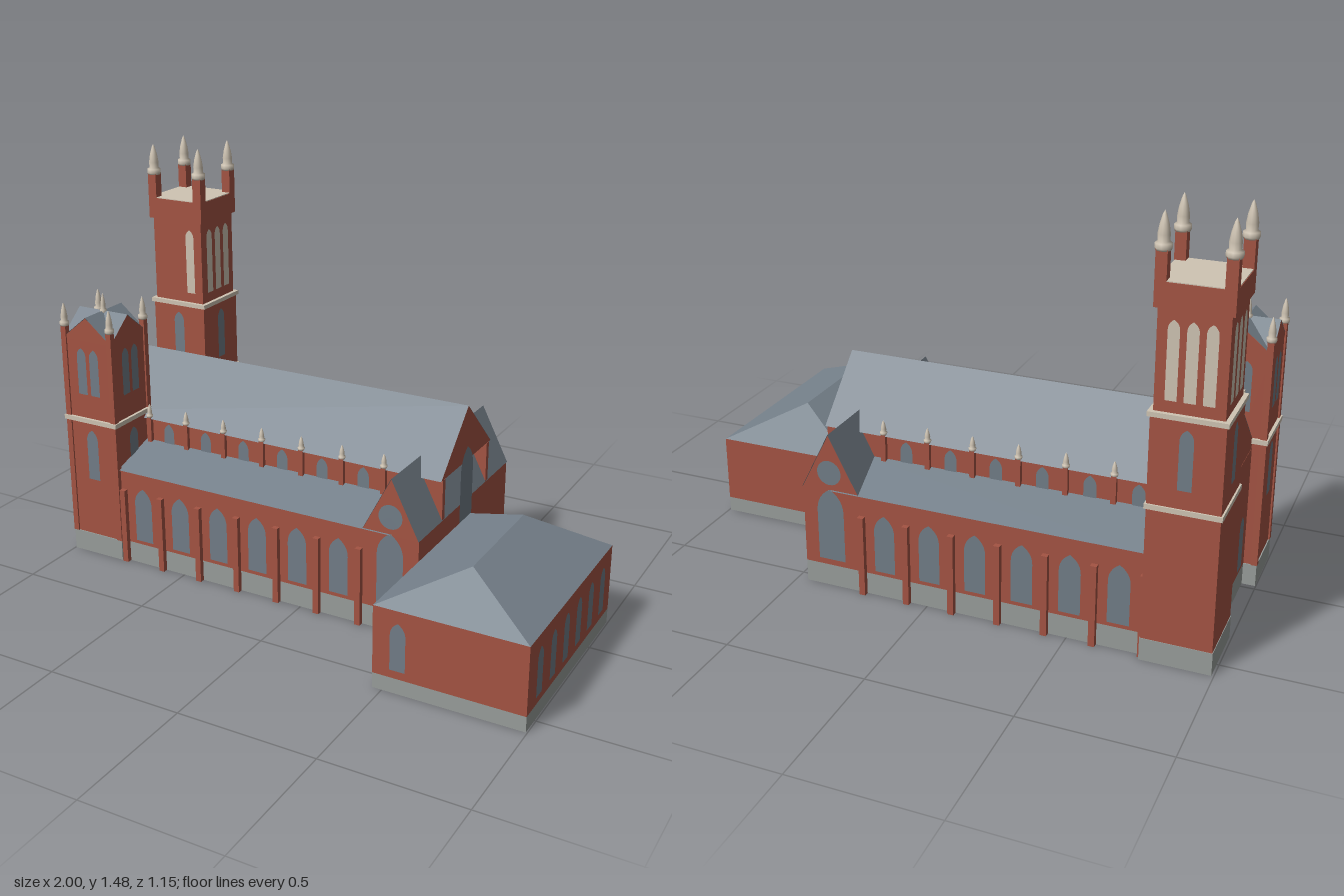
import * as THREE from 'three';

const mat = (name, color) => {
  const m = new THREE.MeshStandardMaterial({ color, side: THREE.DoubleSide });
  m.name = name;
  return m;
};

export function createModel() {
  const root = new THREE.Group();
  root.name = 'church';
  const brick = mat('brick', 0xa45443), slate = mat('slate', 0x76818b), glass = mat('glass', 0x717d87);
  const stone = mat('plinth stone', 0x989d9a), cream = mat('cream stone', 0xcfc4b3);

  const add = (name, geo, m, parent = root) => {
    const mesh = new THREE.Mesh(geo, m);
    mesh.name = name;
    parent.add(mesh);
    return mesh;
  };
  // box given by its limits
  const box = (name, m, x0, x1, y0, y1, z0, z1, parent) => {
    const g = new THREE.BoxGeometry(x1 - x0, y1 - y0, z1 - z0);
    g.translate((x0 + x1) / 2, (y0 + y1) / 2, (z0 + z1) / 2);
    return add(name, g, m, parent);
  };
  // flat convex polygons, each cut into a fan
  const faces = (name, m, polys, parent) => {
    const p = [];
    for (const q of polys)
      for (let i = 1; i < q.length - 1; i++) p.push(...q[0], ...q[i], ...q[i + 1]);
    const g = new THREE.BufferGeometry();
    g.setAttribute('position', new THREE.Float32BufferAttribute(p, 3));
    g.computeVertexNormals();
    return add(name, g, m, parent);
  };
  // upright wall strips along a plan path of [x, z] points
  const walls = (name, m, path, y0, y1, parent) => faces(name, m, path.slice(1).map(([x, z], i) => {
    const [px, pz] = path[i];
    return [[px, y0, pz], [x, y0, z], [x, y1, z], [px, y1, pz]];
  }), parent);
  const plinthWalls = (name, path, yPlinth, yTop, parent) => {
    walls(name + 'Plinth', stone, path, 0, yPlinth, parent);
    walls(name + 'Walls', brick, path, yPlinth, yTop, parent);
  };

  // pointed window laid on a wall; turn is the facing angle about y
  const lancet = (name, m, w, y0, y1, x, z, turn, parent) => {
    const s = new THREE.Shape(), h = w / 2, spring = y1 - w * 0.85;
    s.moveTo(-h, y0);
    s.lineTo(h, y0);
    s.lineTo(h, spring);
    s.quadraticCurveTo(h, spring + w * 0.55, 0, y1);
    s.quadraticCurveTo(-h, spring + w * 0.55, -h, spring);
    s.closePath();
    const mesh = add(name, new THREE.ShapeGeometry(s, 6), m, parent);
    mesh.rotation.y = turn;
    mesh.position.set(x + 0.003 * Math.sin(turn), 0, z + 0.003 * Math.cos(turn));
  };
  // collar and pointed cap
  const pinnacle = (name, x, y, z, r, h, parent) => {
    const prof = [[0, 0], [1, 0], [1.1, 0.06], [1.1, 0.18], [0.75, 0.22], [0.8, 0.4], [0.6, 0.65], [0.25, 0.9], [0, 1]];
    const g = new THREE.LatheGeometry(prof.map(([a, b]) => new THREE.Vector2(a * r, b * h)), 10);
    add(name, g, cream, parent).position.set(x, y, z);
  };

  const E = 0.46, W = -0.95, C = -0.155; // east end, west end, centre line
  const EAST = Math.PI / 2, WEST = -EAST, BACK = Math.PI;

  // main body: outer walls of the aisles, east wall and west wall
  const north = C - 0.383, south = C + 0.383;
  plinthWalls('aisle', [[-0.78, south], [E, south], [E, north], [-0.78, north]], 0.08, 0.37);
  plinthWalls('westEnd', [[W, C - 0.2], [W, C + 0.2]], 0.08, 0.52);
  walls('aisleEnd', brick, [[-0.78, C + 0.2], [-0.78, south]], 0, 0.4);
  walls('aisleEnd', brick, [[-0.78, C - 0.2], [-0.78, north]], 0, 0.4);
  for (const z of [-0.2, -0.06]) lancet('westWindow', glass, 0.06, 0.1, 0.3, W, z, WEST);

  // nave roof and its end gables
  const ridge = 0.727, eave = 0.52, half = 0.215;
  for (const s of [-1, 1])
    faces('naveRoof', slate, [[[W, eave, C + s * half], [E, eave, C + s * half], [E, ridge, C], [W, ridge, C]]]);
  for (const x of [W + 0.001, E - 0.001])
    faces('naveGable', brick, [[[x, eave, C - half], [x, eave, C + half], [x, ridge, C]]]);
  lancet('eastWindow', glass, 0.105, 0.25, 0.575, E, -0.153, EAST);

  // cross on the west gable
  box('crossUpright', cream, W, W + 0.012, ridge - 0.01, 0.8, C - 0.006, C + 0.006);
  box('crossArm', cream, W, W + 0.012, 0.77, 0.782, C - 0.022, C + 0.022);

  // the two long sides, mirrored about the centre line
  for (const s of [-1, 1]) {
    const side = new THREE.Group();
    side.name = s > 0 ? 'frontSide' : 'backSide';
    root.add(side);
    const turn = s > 0 ? 0 : BACK;
    const Z = d => C + s * d;
    const span = (name, m, x0, x1, y0, y1, d0, d1) =>
      box(name, m, x0, x1, y0, y1, Math.min(Z(d0), Z(d1)), Math.max(Z(d0), Z(d1)), side);

    span('clerestoryWall', brick, W, E, 0.37, eave, 0.18, 0.2);
    faces('aisleRoof', slate, [[[-0.78, 0.37, Z(0.39)], [0.36, 0.37, Z(0.39)], [0.36, 0.43, Z(0.2)], [-0.78, 0.43, Z(0.2)]]], side);

    for (let i = 0; i < 7; i++) {
      const x = -0.757 + i * 0.1657;
      span('buttress', brick, x - 0.011, x + 0.011, 0, 0.295, 0.38, 0.402);
      span('clerestoryPier', brick, x - 0.009, x + 0.009, 0.42, 0.53, 0.195, 0.215);
      pinnacle('pierPinnacle', x, 0.525, Z(0.207), 0.012, 0.052, side);
      if (i === 6) continue;
      lancet('aisleWindow', glass, 0.075, 0.095, 0.31, x + 0.083, Z(0.383), turn, side);
      lancet('clerestoryWindow', glass, 0.045, 0.425, 0.507, x + 0.083, Z(0.2), turn, side);
    }

    // transept gable with round window and tall lancet
    faces('transeptGable', brick, [[[0.247, 0.368, Z(0.385)], [0.46, 0.368, Z(0.385)], [0.355, 0.575, Z(0.385)]]], side);
    const rose = add('roseWindow', new THREE.CircleGeometry(0.045, 24), glass, side);
    rose.rotation.y = turn;
    rose.position.set(0.355, 0.437, Z(0.389));
    lancet('transeptWindow', glass, 0.1, 0.105, 0.375, 0.355, Z(0.386), turn, side);
  }
  // transept roof runs right across, under the nave roof
  for (const x of [0.247, 0.461])
    faces('transeptRoof', slate, [[[x, 0.368, C - 0.388], [x, 0.368, C + 0.388], [0.355, 0.577, C + 0.388], [0.355, 0.577, C - 0.388]]]);

  // hall at the east end
  const hall = new THREE.Group();
  hall.name = 'hall';
  root.add(hall);
  const hx0 = 0.465, hx1 = 0.995, hz0 = -0.193, hz1 = 0.573;
  plinthWalls('hall', [[hx0, hz0], [hx0, hz1], [hx1, hz1], [hx1, hz0], [hx0, hz0]], 0.055, 0.3, hall);
  const a = [hx0, 0.3, hz1], b = [hx1, 0.3, hz1], c = [hx1, 0.3, hz0], d = [hx0, 0.3, hz0];
  const r0 = [0.73, 0.425, -0.025], r1 = [0.73, 0.425, 0.403];
  faces('hallRoof', slate, [[a, b, r1], [b, c, r0, r1], [c, d, r0], [d, a, r1, r0]], hall);
  for (let i = 0; i < 6; i++) lancet('hallWindow', glass, 0.048, 0.085, 0.257, hx1, 0.482 - i * 0.1165, EAST, hall);
  lancet('hallFrontWindow', glass, 0.055, 0.085, 0.257, 0.555, hz1, 0, hall);

  const corners = [[-1, -1], [1, -1], [1, 1], [-1, 1]];
  const turns = [0, EAST, BACK, WEST];
  const block = (name, m, h, y0, y1, parent) => box(name, m, -h, h, y0, y1, -h, h, parent);
  // window on a tower face, u along the face
  const towerWindow = (name, m, w, y0, y1, u, h, turn, parent) => lancet(name, m, w, y0, y1,
    h * Math.sin(turn) + u * Math.cos(turn), h * Math.cos(turn) - u * Math.sin(turn), turn, parent);

  // small front tower with crossed gables
  const small = new THREE.Group();
  small.name = 'smallTower';
  small.position.set(-0.886, 0, 0.132);
  root.add(small);
  block('smallTowerPlinth', stone, 0.111, 0, 0.08, small);
  block('smallTowerShaft', brick, 0.107, 0.08, 0.865, small);
  block('smallTowerBelt', cream, 0.118, 0.54, 0.557, small);
  for (const [sx, sz] of corners) {
    const x = sx * 0.102, z = sz * 0.102;
    box('cornerPost', brick, x - 0.011, x + 0.011, 0.08, 0.91, z - 0.011, z + 0.011, small);
    pinnacle('cornerPinnacle', x, 0.905, z, 0.016, 0.087, small);
    const k = 0.109, top = 0.95, low = 0.86, K = [sx * k, low, sz * k], M = [0, top, 0];
    faces('crossRoof', slate, [[M, [sx * k, top, 0], K], [M, K, [0, top, sz * k]]], small);
  }
  for (const t of turns) {
    const gable = faces('towerGable', brick, [[[-0.108, 0.86, 0.108], [0.108, 0.86, 0.108], [0, 0.948, 0.108]]], small);
    gable.rotation.y = t;
    for (const u of [-0.028, 0.028]) towerWindow('twinWindow', glass, 0.04, 0.65, 0.83, u, 0.107, t, small);
    towerWindow('lowerWindow', glass, 0.05, 0.31, 0.51, 0, 0.107, t, small);
  }
  pinnacle('centrePinnacle', 0, 0.94, 0, 0.012, 0.076, small);

  // tall bell tower at the back
  const tall = new THREE.Group();
  tall.name = 'bellTower';
  tall.position.set(-0.873, 0, -0.449);
  root.add(tall);
  block('bellTowerPlinth', stone, 0.119, 0, 0.08, tall);
  block('lowerStage', brick, 0.117, 0.08, 0.85, tall);
  block('lowerBelt', cream, 0.123, 0.54, 0.557, tall);
  block('upperBelt', cream, 0.125, 0.848, 0.864, tall);
  block('belfry', brick, 0.11, 0.86, 1.19, tall);
  block('parapet', brick, 0.121, 1.19, 1.27, tall);
  block('roofDeck', cream, 0.119, 1.265, 1.273, tall);
  for (const [sx, sz] of corners) {
    const x = sx * 0.103, z = sz * 0.103;
    box('parapetPost', brick, x - 0.018, x + 0.018, 1.19, 1.365, z - 0.018, z + 0.018, tall);
    pinnacle('towerPinnacle', x, 1.36, z, 0.024, 0.117, tall);
  }
  for (const t of turns) {
    for (const u of t === 0 ? [0.058] : [-0.058, 0, 0.058])
      towerWindow('louvre', cream, 0.037, 0.903, 1.157, u, 0.11, t, tall);
    towerWindow('towerWindow', glass, 0.045, 0.62, 0.82, 0, 0.117, t, tall);
  }
  return root;
}
